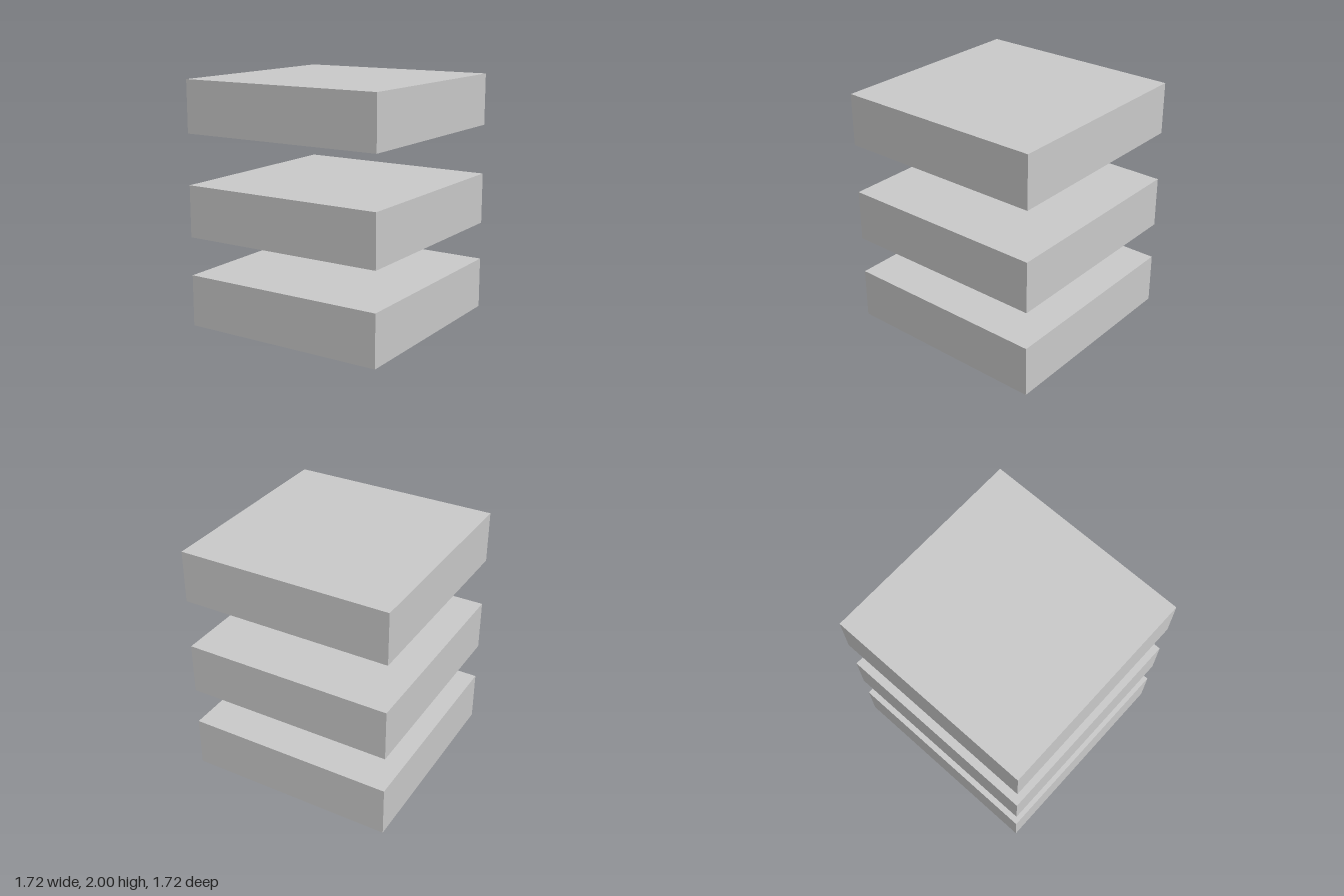
import * as THREE from 'three';

const WIDTH = 1.722;
const HEIGHT = 0.424;

export function createModel() {
  const model = new THREE.Group();
  model.name = 'slabStack';
  const material = new THREE.MeshStandardMaterial({ color: 0xcccccc });
  const geometry = new THREE.BoxGeometry(WIDTH, HEIGHT, WIDTH);

  // Three equal square slabs floating above one another, by underside height
  const slabs = { bottomSlab: 0, middleSlab: 0.74, topSlab: 2 - HEIGHT };
  for (const [name, base] of Object.entries(slabs)) {
    const slab = new THREE.Mesh(geometry, material);
    slab.name = name;
    slab.position.y = base + HEIGHT / 2;
    model.add(slab);
  }
  return model;
}
